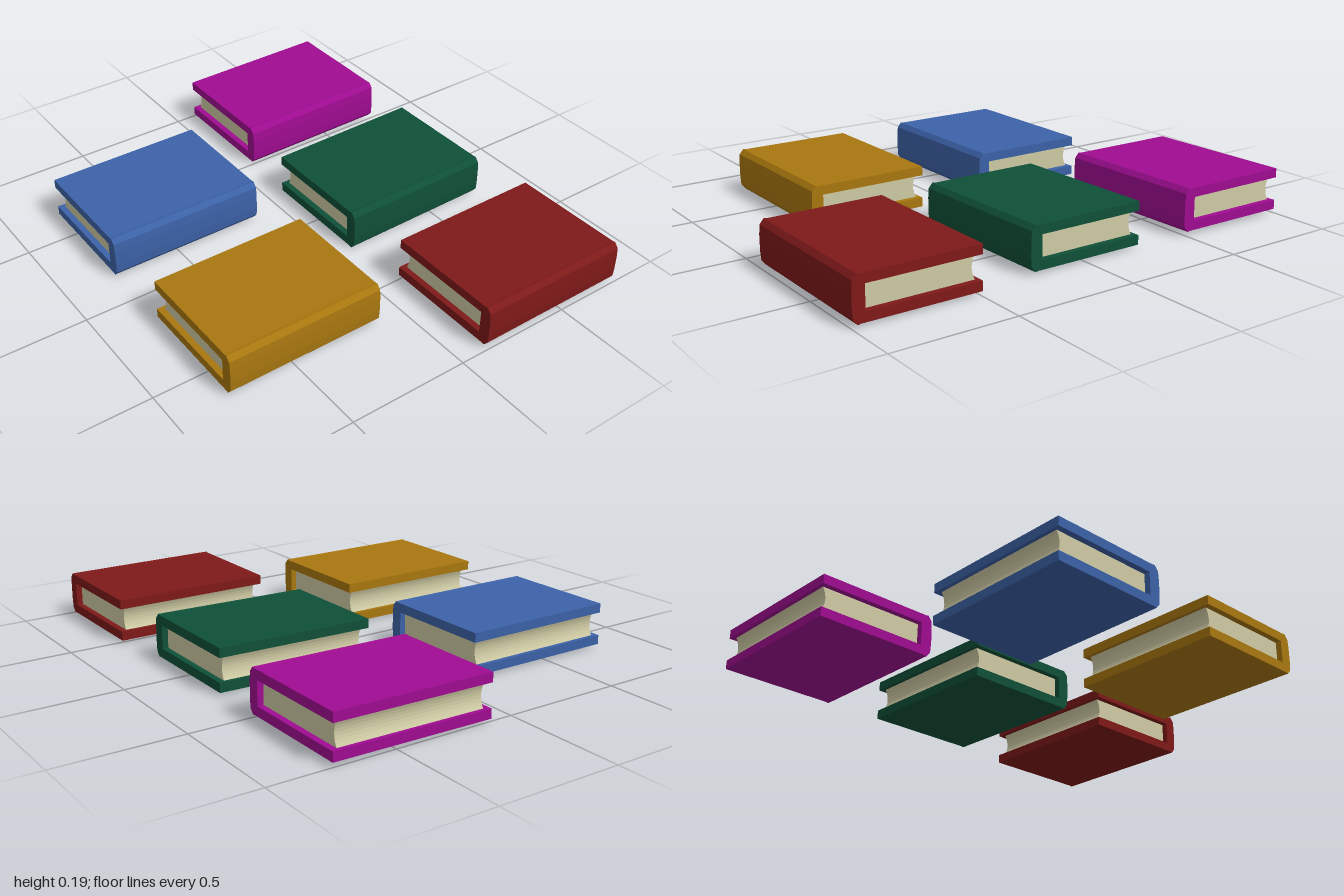
import * as THREE from 'three';

const WIDTH = 0.66;

// Extrudes a (z, y) outline along x, centred on x = 0.
function extrudeAlongX(shape, width) {
  const geometry = new THREE.ExtrudeGeometry(shape, { depth: width, bevelEnabled: false, curveSegments: 8 });
  geometry.translate(0, 0, -width / 2);
  geometry.rotateY(-Math.PI / 2);
  return geometry;
}

// Cover boards and spine in one U-shaped outline, with a small ridge at the spine.
function coverGeometry() {
  const upper = [[-0.255, 0.048], [-0.255, 0.086], [0.222, 0.086], [0.235, 0.088], [0.252, 0.068], [0.255, 0.03]];
  const outer = [...upper, ...upper.map(([z, y]) => [z, -y]).reverse()];
  const inner = [[0.205, -0.048], [0.205, 0.048]];
  const points = [...outer, ...inner].map(([z, y]) => new THREE.Vector2(z, y));
  return extrudeAlongX(new THREE.Shape(points), WIDTH);
}

// Page block, hollowed along the fore edge.
function pageGeometry() {
  const shape = new THREE.Shape();
  shape.moveTo(-0.24, -0.05);
  shape.lineTo(0.215, -0.05);
  shape.lineTo(0.215, 0.05);
  shape.lineTo(-0.24, 0.05);
  shape.quadraticCurveTo(-0.21, 0, -0.24, -0.05);
  return extrudeAlongX(shape, WIDTH - 0.05);
}

export function createModel() {
  const model = new THREE.Group();
  model.name = 'books';
  const cover = coverGeometry();
  const pages = pageGeometry();
  const paper = new THREE.MeshStandardMaterial({ color: 0xcfcba4 });

  // Name, colour, centre position and slight tilt of each book
  const books = [
    ['redBook', 0x7f1919, 0.45, 0.097, 0.742, 0],
    ['goldBook', 0xa9770f, -0.447, 0.097, 0.405, 0],
    ['greenBook', 0x0f5038, 0.41, 0.093, -0.005, 0.015],
    ['blueBook', 0x3c62a8, -0.457, 0.097, -0.4, 0],
    ['magentaBook', 0xa00c92, 0.42, 0.099, -0.745, 0.012],
  ];
  for (const [name, color, x, y, z, tilt] of books) {
    const book = new THREE.Group();
    book.name = name;
    const coverMesh = new THREE.Mesh(cover, new THREE.MeshStandardMaterial({ color }));
    coverMesh.name = 'cover';
    const pageMesh = new THREE.Mesh(pages, paper);
    pageMesh.name = 'pages';
    book.add(coverMesh, pageMesh);
    book.position.set(x, y, z);
    book.rotation.z = tilt;
    model.add(book);
  }
  return model;
}
